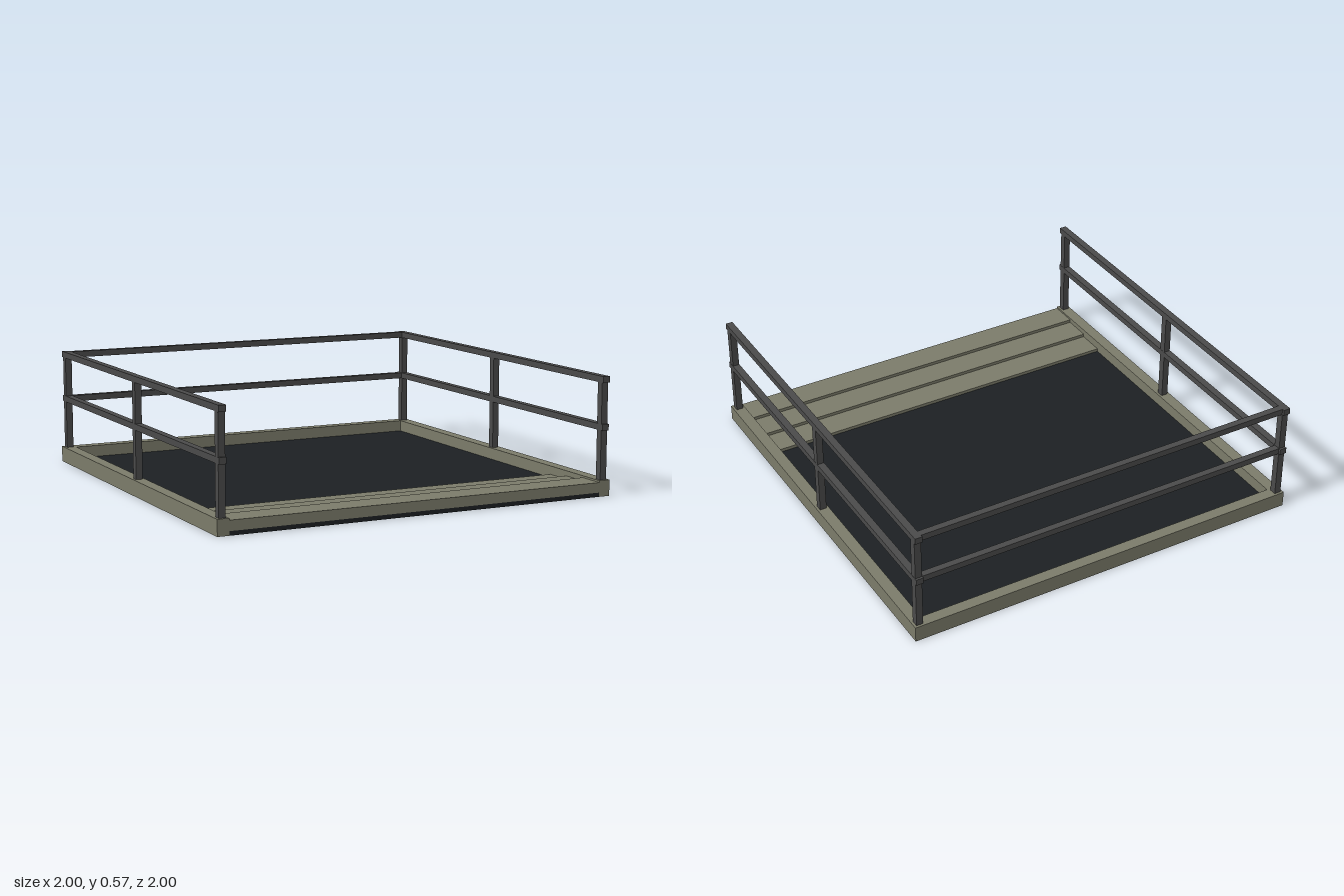
import * as THREE from 'three';

export function createModel() {
  const model = new THREE.Group();
  model.name = 'railedPlatform';
  const curbMat = new THREE.MeshStandardMaterial({ color: 0x7b7b6a });
  const floorMat = new THREE.MeshStandardMaterial({ color: 0x1c2023 });
  const railMat = new THREE.MeshStandardMaterial({ color: 0x4a4a4a });

  // Box given by its lower and upper corners
  function box(name, mat, [x0, y0, z0], [x1, y1, z1]) {
    const mesh = new THREE.Mesh(new THREE.BoxGeometry(x1 - x0, y1 - y0, z1 - z0), mat);
    mesh.position.set((x0 + x1) / 2, (y0 + y1) / 2, (z0 + z1) / 2);
    mesh.name = name;
    model.add(mesh);
  }

  const inner = 0.943, curbTop = 0.077, floorTop = 0.02;
  const railIn = 0.955, railOut = 0.988;
  const rails = [['topRail', 0.537, 0.567], ['midRail', 0.312, 0.342]];

  // Sunken floor, open to the front edge
  box('floor', floorMat, [-inner, 0, -inner], [inner, floorTop, 1]);

  // Curb at the back
  box('backCurb', curbMat, [-inner, 0, -1], [inner, curbTop, -inner]);

  // Steps going down from the front edge to the floor
  [0.068, 0.052, 0.036].forEach((top, i) => {
    const front = 1 - i * 0.14;
    box('step', curbMat, [-inner, floorTop, front - 0.14], [inner, top, front]);
  });

  for (const [side, s] of [['left', 1], ['right', -1]]) {
    const span = (a, b) => (s > 0 ? [a, b] : [-b, -a]);

    // Side curb
    const [c0, c1] = span(inner, 1);
    box(side + 'Curb', curbMat, [c0, 0, -1], [c1, curbTop, 1]);

    // Three posts and two rails on each side
    const [p0, p1] = span(railIn, railOut);
    for (const z of [-0.971, 0, 0.971]) {
      box(side + 'Post', railMat, [p0, curbTop, z - 0.0175], [p1, 0.552, z + 0.0175]);
    }
    const [r0, r1] = span(railIn - 0.001, railOut + 0.001);
    for (const [name, y0, y1] of rails) {
      box(side + name, railMat, [r0, y0, -1], [r1, y1, 1]);
    }
  }

  // Back rails between the corner posts
  for (const [name, y0, y1] of rails) {
    box('back' + name, railMat, [-railIn, y0, -railOut], [railIn, y1, -railIn]);
  }
  return model;
}
